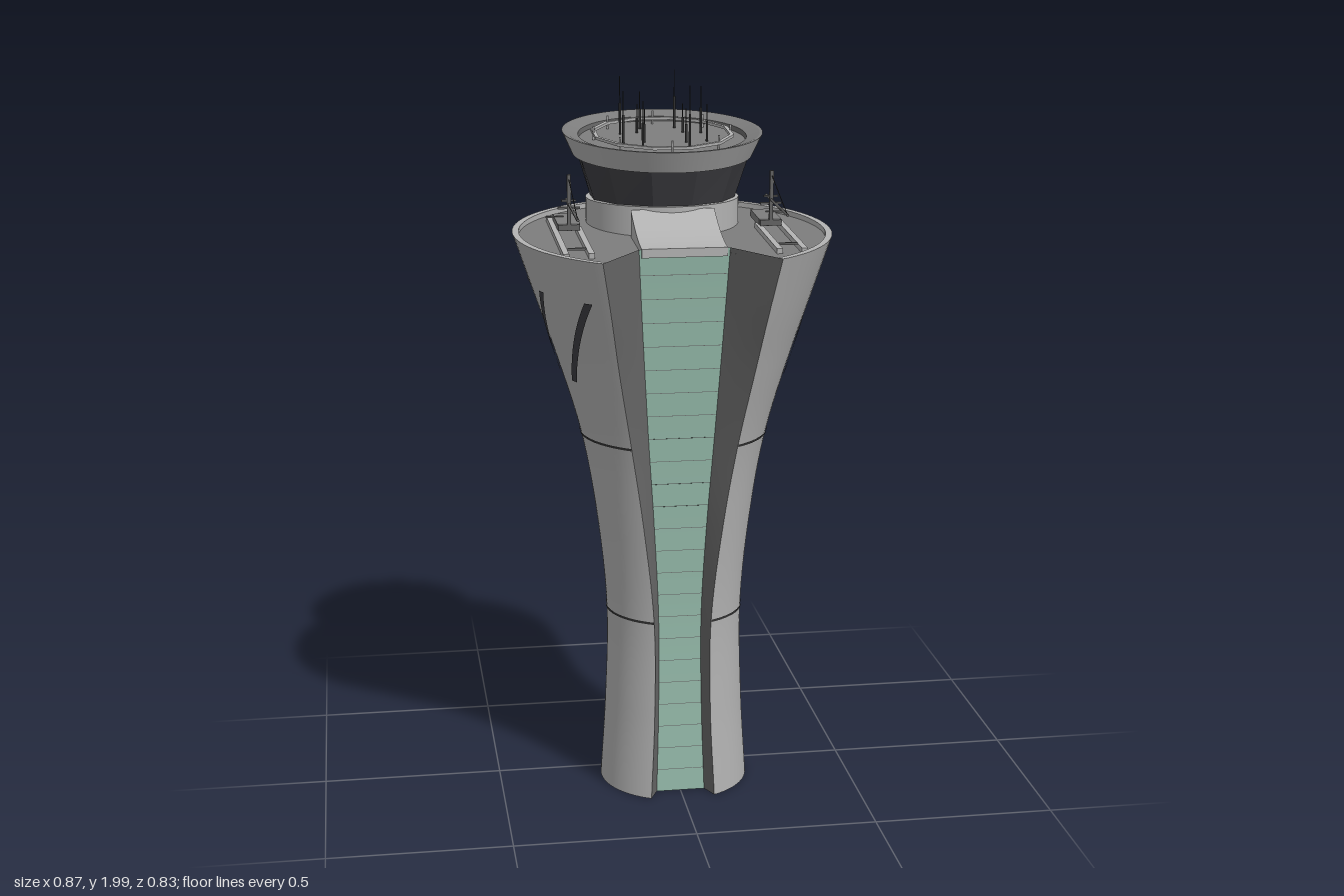
import * as THREE from 'three';
import { ParametricGeometry } from 'three/addons/geometries/ParametricGeometry.js';

const H = 1.565;      // shaft height at the front tips
const SLOPE = 0.057;  // roof rises towards the back
const CAB_Z = -0.14;  // centre of the control cab
const TILT = 0.1;     // slope of the cab roof

// shaft sections: radius, centre z, half width of notch mouth, half width and z of the glass
const LEVELS = [0, 0.25, 0.52, 0.8, 1.03, 1.25, 1.42, 1.565];
const SECTIONS = [
  0.21, 0.067, 0.09, 0.068, 0.21,
  0.195, 0.07, 0.079, 0.061, 0.2,
  0.19, 0.074, 0.08, 0.06, 0.195,
  0.217, 0.072, 0.11, 0.074, 0.205,
  0.258, 0.068, 0.145, 0.09, 0.22,
  0.325, 0.06, 0.183, 0.104, 0.24,
  0.385, 0.054, 0.21, 0.114, 0.256,
  0.437, 0.048, 0.235, 0.122, 0.272,
];
const spline = new THREE.CubicInterpolant(LEVELS, SECTIONS, 5, new Float32Array(5));
function section(y) {
  const [r, c, tip, gx, gz] = spline.evaluate(Math.min(Math.max(y, 0), H));
  return { r, c, gx, gz, a0: Math.asin(tip / r) };
}
const lift = (y, z) => y + SLOPE * (0.41 - z) * Math.pow(y / H, 6);

// point on the shaft skin; angle runs from +z towards +x
function skin(angle, y, off, out) {
  const s = section(y);
  const z = s.c + (s.r + off) * Math.cos(angle);
  return out.set((s.r + off) * Math.sin(angle), lift(y, z), z);
}

export function createModel() {
  const model = new THREE.Group();
  const mat = (name, color, side = THREE.FrontSide) => {
    const m = new THREE.MeshStandardMaterial({ color, side });
    m.name = name;
    return m;
  };
  const concrete = mat('concrete', 0xb2b2b2, THREE.DoubleSide);
  const deckGrey = mat('deckGrey', 0x7c7c7c, THREE.DoubleSide);
  const notchGrey = mat('notchGrey', 0x666666, THREE.DoubleSide);
  const greenGlass = mat('greenGlass', 0x95baaa, THREE.DoubleSide);
  const darkGlass = mat('darkGlass', 0x3e3e42, THREE.DoubleSide);
  const darkMetal = mat('darkMetal', 0x303030, THREE.DoubleSide);

  const add = (name, geo, material, parent = model, x = 0, y = 0, z = 0) => {
    const m = new THREE.Mesh(geo, material);
    m.name = name;
    m.position.set(x, y, z);
    parent.add(m);
    return m;
  };
  const sheet = (name, fn, nu, nv, material) =>
    add(name, new ParametricGeometry(fn, nu, nv), material);
  const flat = (geo) => {
    const g = geo.toNonIndexed();
    g.computeVertexNormals();
    return g;
  };
  const lathe = (pts, n, start = 0) =>
    new THREE.LatheGeometry(pts.map((p) => new THREE.Vector2(...p)), n, start);
  const rod = (name, a, b, r, material, parent) => {
    const p = new THREE.Vector3(...a), d = new THREE.Vector3(...b).sub(p);
    const m = add(name, new THREE.CylinderGeometry(r, r, d.length(), 6), material, parent);
    m.position.copy(p).addScaledVector(d, 0.5);
    m.quaternion.setFromUnitVectors(new THREE.Vector3(0, 1, 0), d.normalize());
    return m;
  };
  const around = (u, y) => {
    const { a0 } = section(y);
    return a0 + u * (2 * Math.PI - 2 * a0);
  };

  // flared shaft, open at the front notch and at the bottom
  sheet('shaft', (u, v, out) => skin(around(u, v * H), v * H, 0, out), 80, 48, concrete);
  for (const y of [0.52, 1.03])
    sheet('shaftSeam', (u, v, out) => skin(around(u, y), y + (v - 0.5) * 0.007, 0.002, out), 80, 1, darkMetal);

  // slanted walls of the notch
  for (const s of [-1, 1]) {
    sheet('notchWall', (u, v, out) => {
      const y = v * H, c = section(y), t = s > 0 ? u : 1 - u;
      const x = THREE.MathUtils.lerp(c.gx, c.r * Math.sin(c.a0), t);
      const z = THREE.MathUtils.lerp(c.gz, c.c + c.r * Math.cos(c.a0), t);
      out.set(s * x, lift(y, z), z);
    }, 2, 48, notchGrey);
  }

  // tall glass front with fine horizontal joints
  const glassPoint = (u, y, off, out) => {
    const c = section(y);
    return out.set((2 * u - 1) * c.gx, lift(y, c.gz), c.gz + off);
  };
  sheet('frontGlass', (u, v, out) => glassPoint(u, v * H, 0, out), 2, 48, greenGlass);
  for (let y = 0.065; y < 1.55; y += 0.065)
    sheet('glassJoint', (u, v, out) => glassPoint(u, y + v * 0.0015, 0.002, out), 1, 1, notchGrey);

  // slanted window slits
  const slit = (name, y0, y1, deg0, deg1, width) => sheet(name, (u, v, out) => {
    const y = y0 + v * (y1 - y0);
    const a = THREE.MathUtils.degToRad(deg0 + v * (deg1 - deg0));
    skin(a + (u - 0.5) * width / section(y).r, y, 0.004, out);
  }, 3, 24, darkGlass);
  for (let i = 0; i < 9; i++) slit('upperSlit', 1.2, 1.445, 69 + 28 * i, 94 + 28 * i, 0.026);
  slit('longSlit', 0.35, 1.01, 142, 205, 0.03);

  // roof rim and sunken deck
  const RIM = 0.018, DROP = 0.014;
  sheet('roofRim', (u, v, out) => skin(around(u, H), H, -RIM * v, out), 80, 1, concrete);
  sheet('rimInside', (u, v, out) => {
    skin(around(u, H), H, -RIM, out);
    out.y -= DROP * v;
  }, 80, 1, concrete);
  const top = section(H), outline = [];
  for (let i = 0; i <= 80; i++) {
    const p = skin(around(i / 80, H), H, -RIM, new THREE.Vector3());
    outline.push(new THREE.Vector2(p.x, -p.z));
  }
  outline.push(new THREE.Vector2(-top.gx, -top.gz), new THREE.Vector2(top.gx, -top.gz));
  const deckY = (z) => lift(H, z) - DROP;
  const deckGeo = new THREE.ShapeGeometry(new THREE.Shape(outline)).rotateX(-Math.PI / 2);
  const dp = deckGeo.attributes.position;
  for (let i = 0; i < dp.count; i++) dp.setY(i, deckY(dp.getZ(i)));
  deckGeo.computeVertexNormals();
  add('roofDeck', deckGeo, deckGrey);

  // curved ramp between the glass front and the cab drum
  const ramp = new THREE.Shape();
  ramp.moveTo(-0.274, 1.55);
  ramp.lineTo(-0.274, 1.574);
  ramp.quadraticCurveTo(-0.17, 1.582, -0.06, 1.645);
  ramp.lineTo(-0.06, 1.55);
  const rampGeo = new THREE.ExtrudeGeometry(ramp, { depth: 0.23, bevelEnabled: false, curveSegments: 12 });
  rampGeo.translate(0, 0, -0.115).rotateY(Math.PI / 2);
  add('frontRamp', rampGeo, concrete);

  // cab drum and twelve-sided window band with a tilted top
  add('cabDrum', new THREE.CylinderGeometry(0.215, 0.215, 0.085, 48), concrete, model, 0, 1.61, CAB_Z);
  const band = new THREE.CylinderGeometry(0.245, 0.204, 0.13, 12, 1, true, Math.PI / 12);
  const bp = band.attributes.position;
  for (let i = 0; i < bp.count; i++)
    if (bp.getY(i) > 0) bp.setY(i, bp.getY(i) - bp.getZ(i) * TILT);
  add('cabWindows', flat(band), darkGlass, model, 0, 1.715, CAB_Z);

  // cab crown with its sunken roof
  const crown = new THREE.Group();
  crown.name = 'cabCrown';
  crown.position.set(0, 1.775, CAB_Z);
  crown.rotation.x = TILT;
  model.add(crown);
  add('crownSoffit', lathe([[0.19, 0], [0.252, 0]], 64), concrete, crown);
  add('crownSide', lathe([[0.252, 0], [0.28, 0.062]], 64), concrete, crown);
  add('crownTop', lathe([[0.28, 0.062], [0.272, 0.062]], 64), deckGrey, crown);
  add('crownSlope', lathe([[0.272, 0.062], [0.235, 0.05]], 64), deckGrey, crown);
  add('crownInside', lathe([[0.235, 0.05], [0.232, 0.036]], 64), notchGrey, crown);
  add('cabRoof', new THREE.CircleGeometry(0.233, 64).rotateX(-Math.PI / 2), deckGrey, crown, 0, 0.037, 0);
  const ring = lathe([[0.19, 0.05], [0.201, 0.05], [0.201, 0.058], [0.19, 0.058], [0.19, 0.05]], 12, Math.PI / 12);
  add('roofRail', flat(ring), concrete, crown);
  for (let i = 0; i < 8; i++) {
    const a = i * Math.PI / 4, x = 0.193 * Math.sin(a), z = 0.193 * Math.cos(a);
    rod('railPost', [x, 0.036, z], [x, 0.075, z], 0.003, concrete, crown);
  }

  // antennas: x, z, top height
  const masts = [
    [-0.045, -0.265, 1.93], [0.055, -0.27, 1.99], [0.12, -0.2, 1.95], [-0.11, -0.2, 1.98],
    [-0.115, -0.09, 1.95], [0.12, -0.095, 1.91], [-0.07, -0.02, 1.93], [0.06, -0.02, 1.97],
    [0.07, -0.21, 1.9], [-0.06, -0.215, 1.9], [-0.055, -0.095, 1.9], [0.06, -0.085, 1.9],
  ];
  for (const [x, z, h] of masts) {
    const base = 1.81 - (z - CAB_Z) * TILT, mid = base + (h - base) * 0.55;
    rod('antennaBase', [x, base, z], [x, mid, z], 0.0035, darkMetal, model);
    rod('antennaTip', [x, mid, z], [x, h, z], 0.0015, darkMetal, model);
  }

  // maintenance cranes on rails, one on each side of the deck
  for (const s of [-1, 1]) {
    const crane = new THREE.Group();
    crane.name = s > 0 ? 'leftCrane' : 'rightCrane';
    crane.position.set(s * 0.28, deckY(0), 0);
    crane.rotation.x = SLOPE;
    model.add(crane);
    const box = (name, w, h, d, x, y, z, m) => add(name, new THREE.BoxGeometry(w, h, d), m, crane, s * x, y, z);
    box('outerRail', 0.016, 0.014, 0.47, 0.037, 0.007, 0.065, concrete);
    box('innerRail', 0.016, 0.014, 0.32, -0.03, 0.007, 0.14, concrete);
    box('carriage', 0.062, 0.02, 0.13, 0, 0.02, -0.055, deckGrey);
    box('mastFoot', 0.06, 0.016, 0.022, 0, 0.022, 0.015, notchGrey);
    box('endBar', 0.05, 0.006, 0.006, 0.003, 0.014, 0.245, notchGrey);
    box('sideArm', 0.05, 0.005, 0.005, 0.03, 0.03, -0.08, notchGrey);
    box('mast', 0.01, 0.155, 0.01, 0, 0.09, 0.02, notchGrey);
    box('lowerCrossbar', 0.06, 0.006, 0.006, 0, 0.075, 0.015, notchGrey);
    box('upperCrossbar', 0.04, 0.005, 0.005, 0, 0.095, 0.015, notchGrey);
    rod('boom', [0, 0.085, -0.05], [0, 0.09, 0.245], 0.004, notchGrey, crane);
    rod('stay', [0, 0.155, 0.02], [0, 0.092, 0.235], 0.0012, darkMetal, crane);
  }
  return model;
}
